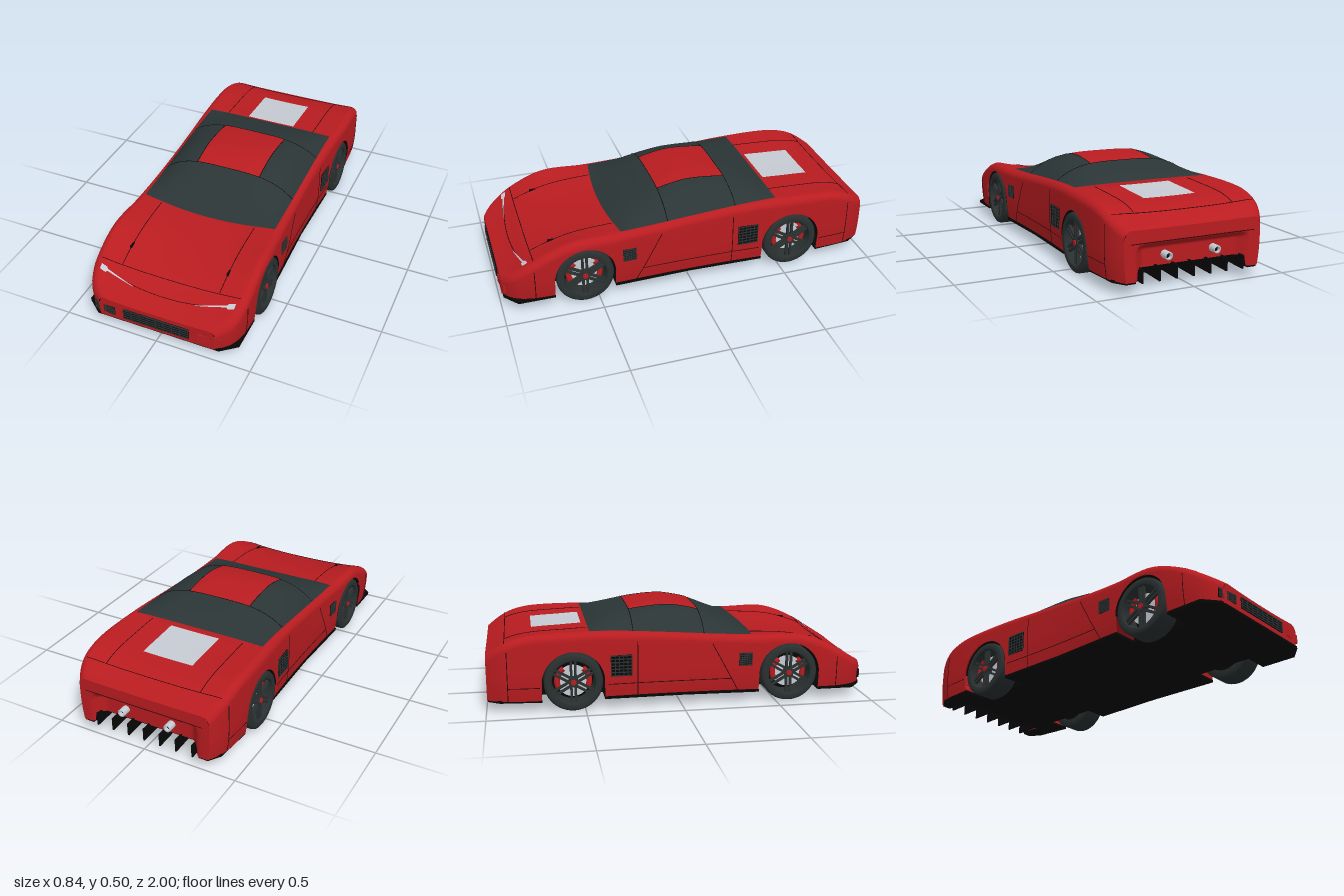
import * as THREE from 'three';

const mat = (name, color, side = THREE.DoubleSide) => {
  const m = new THREE.MeshStandardMaterial({ color, side });
  m.name = name;
  return m;
};

// Smooth curve through [position, value] pairs
function curve(p) {
  const slope = i => {
    const a = p[Math.max(i - 1, 0)], b = p[Math.min(i + 1, p.length - 1)];
    return (b[1] - a[1]) / (b[0] - a[0]);
  };
  return z => {
    if (z <= p[0][0]) return p[0][1];
    for (let i = 0; i < p.length - 1; i++) {
      const [a, ya] = p[i], [b, yb] = p[i + 1];
      if (z > b) continue;
      const h = b - a, t = (z - a) / h, t2 = t * t, t3 = t2 * t;
      return ya * (2 * t3 - 3 * t2 + 1) + yb * (3 * t2 - 2 * t3) +
        h * (slope(i) * (t3 - 2 * t2 + t) + slope(i + 1) * (t3 - t2));
    }
    return p[p.length - 1][1];
  };
}

const lerp = THREE.MathUtils.lerp, smooth = THREE.MathUtils.smoothstep;
const NOSE = 0.99, TAIL = -0.995, R = 0.04, ARCH = 0.16, WHEEL_Y = 0.15;
const axles = [0.57, -0.56];

// Half width, fender crown, centre line and roof line along the car
const halfW = curve([[-1, 0.36], [-0.96, 0.385], [-0.9, 0.408], [-0.8, 0.418], [-0.65, 0.42], [-0.45, 0.412], [-0.2, 0.402],
  [0.1, 0.401], [0.4, 0.41], [0.6, 0.42], [0.82, 0.417], [0.9, 0.4], [0.95, 0.372], [0.98, 0.335], [1, 0.3]]);
const fenderY = curve([[-1, 0.297], [-0.92, 0.35], [-0.85, 0.38], [-0.75, 0.399], [-0.5, 0.405], [-0.3, 0.4], [0, 0.38],
  [0.2, 0.365], [0.4, 0.355], [0.6, 0.355], [0.7, 0.332], [0.83, 0.272], [0.92, 0.215], [1, 0.165]]);
const centreY = curve([[-1, 0.295], [-0.9, 0.35], [-0.8, 0.375], [-0.6, 0.388], [-0.47, 0.392], [-0.3, 0.36], [0, 0.33],
  [0.3, 0.33], [0.4, 0.338], [0.6, 0.314], [0.82, 0.256], [0.9, 0.205], [1, 0.16]]);
const roofY = curve([[-0.5, 0.395], [-0.4, 0.434], [-0.25, 0.474], [-0.15, 0.489], [-0.06, 0.495], [0, 0.491],
  [0.12, 0.463], [0.25, 0.408], [0.33, 0.372], [0.4, 0.338]]);

const sideX = (y, z) => halfW(z) - 0.012 * ((Math.min(y, 0.2) - 0.2) / 0.14) ** 2;
function topY(x, z) {
  const a = Math.abs(x), flat = halfW(z) - R, f = fenderY(z), c = centreY(z);
  if (a <= flat) return c + (f - c) * (a / flat) ** 2.5;
  return f - R + Math.sqrt(Math.max(0, R * R - (a - flat) ** 2));
}
function sillY(z) {
  for (const a of axles) {
    const d = Math.abs(z - a);
    if (d < ARCH) return WHEEL_Y + Math.sqrt(ARCH * ARCH - d * d);
  }
  return 0.06;
}

// Grid surface from rows of points
function grid(rows) {
  const n = rows[0].length, index = [];
  for (let j = 0; j < rows.length - 1; j++) for (let i = 0; i < n - 1; i++) {
    const a = j * n + i, b = a + n;
    index.push(a, b, a + 1, b, b + 1, a + 1);
  }
  const g = new THREE.BufferGeometry();
  g.setAttribute('position', new THREE.Float32BufferAttribute(rows.flat(2), 3));
  g.setIndex(index);
  g.computeVertexNormals();
  return g;
}
const range = (n, f) => Array.from({ length: n + 1 }, (_, i) => f(i / n));
const patch = (fn, nu, nv) => grid(range(nv, v => range(nu, u => fn(u, v))));

export function createModel() {
  const red = mat('red paint', 0xb91c20), glass = mat('dark glass', 0x2b3536), black = mat('black', 0x070707);
  const rubber = mat('tyre grey', 0x2a3030), silver = mat('silver', 0xc6cad2), seamMat = mat('seam', 0x2a080a);
  const car = new THREE.Group();
  car.name = 'sportsCar';
  const add = (name, geo, material, parent = car) => {
    const m = new THREE.Mesh(geo, material);
    m.name = name;
    parent.add(m);
    return m;
  };
  const box = (name, size, pos, material, parent) => {
    const m = add(name, new THREE.BoxGeometry(...size), material, parent);
    m.position.set(...pos);
    return m;
  };

  // Body shell, with stations packed around the wheel arches
  const stations = range(80, t => lerp(TAIL, NOSE, t)).filter(z => axles.every(a => Math.abs(z - a) > ARCH + 0.002));
  for (const a of axles) {
    stations.push(a - ARCH - 0.0005, a + ARCH + 0.0005, ...range(28, t => a - (ARCH - 1e-5) * Math.cos(t * Math.PI)));
  }
  stations.sort((a, b) => a - b);
  const section = z => {
    const w = halfW(z), sh = fenderY(z) - R, low = Math.min(sillY(z), sh);
    const half = range(6, t => { const y = lerp(low, sh, t); return [sideX(y, z), y, z]; });
    for (let i = 1; i <= 6; i++) {
      const x = w - R + R * Math.cos(i * Math.PI / 12);
      half.push([x, topY(x, z), z]);
    }
    for (let i = 1; i <= 14; i++) {
      const x = (w - R) * (1 - i / 14);
      half.push([x, topY(x, z), z]);
    }
    return [...half, ...half.slice(0, -1).reverse().map(([x, y, k]) => [-x, y, k])];
  };
  add('bodyShell', grid(stations.map(section)), red);

  // Nose and recessed tail panel
  add('nosePanel', patch((u, v) => {
    const k = 2 * u - 1, y = lerp(0.06, topY(k * halfW(NOSE), NOSE), v);
    return [k * sideX(y, NOSE), y, NOSE];
  }, 40, 6), red);
  add('tailPanel', patch((u, v) => {
    const k = 2 * u - 1, x0 = k * halfW(TAIL), low = Math.abs(x0) < 0.3 ? 0.11 : 0.06;
    const y = lerp(low, topY(x0, TAIL), v), x = k * sideX(y, TAIL);
    return [x, y, TAIL + 0.05 * (1 - smooth(y, 0.2, 0.235)) * (1 - smooth(Math.abs(x), 0.24, 0.31))];
  }, 60, 20), red);

  // Cabin: windscreen, roof, side windows and rear window
  const ROOF = 0.486;
  const cabin = (u, z, lift = 0) => {
    const b = fenderY(z) - 0.004;
    return [u * 0.37, b + (roofY(z) - b) * (1 - Math.abs(u) ** 3.6) + 0.004 + lift, z];
  };
  const cabinPart = (name, u0, u1, z0, z1, m) => add(name, patch((s, t) => {
    const u = lerp(u0, u1, s), front = z0 > 0.3 ? z0 - 0.03 * u * u : z0;
    return cabin(u, lerp(front, z1, t));
  }, 30, 14), m);
  cabinPart('windscreen', -1, 1, 0.4, 0.12, glass);
  cabinPart('roofPanel', -ROOF, ROOF, 0.12, -0.25, red);
  cabinPart('leftWindow', ROOF, 1, 0.12, -0.25, glass);
  cabinPart('rightWindow', -1, -ROOF, 0.12, -0.25, glass);
  cabinPart('rearWindow', -1, 1, -0.25, -0.475, glass);

  // Engine cover window and slim headlights
  add('engineWindow', patch((u, v) => {
    const x = lerp(-0.14, 0.14, u), z = lerp(-0.76, -0.5, v);
    return [x, topY(x, z) + 0.005, z];
  }, 8, 8), silver);
  for (const s of [1, -1]) add('headlight', patch((u, v) => {
    const x = s * lerp(0.365, 0.17, u), w = u < 0.18 ? 0.024 : 0.009 * (1.2 - u);
    const z = lerp(0.862, 0.897, u) + (v - 0.4) * w;
    return [x, topY(x, z) + 0.004, z];
  }, 24, 2), silver);

  // Panel seams
  const seam = (fn, m = seamMat) => add('panelSeam', new THREE.TubeGeometry(
    new THREE.CatmullRomCurve3(range(16, t => new THREE.Vector3(...fn(t)))), 32, 0.002, 4), m);
  const across = (half, zf) => seam(t => {
    const x = lerp(-half, half, t), z = zf(x);
    return [x, topY(x, z) + 0.001, z];
  });
  across(0.38, () => 0.825);
  across(0.38, () => -0.9);
  across(0.36, x => 0.9 - 0.3 * x * x);
  seam(t => [lerp(-0.33, 0.33, t), 0.237, TAIL - 0.001]);
  for (const z of [0.12, -0.25]) seam(t => cabin(lerp(-1, 1, t), z), black);
  for (const s of [1, -1]) {
    for (const [a, b] of [[0.39, 0.82], [-0.48, -0.9]]) seam(t => {
      const z = lerp(a, b, t);
      return [s * 0.265, topY(0.265, z) + 0.001, z];
    });
    seam(t => cabin(s * ROOF, lerp(0.12, -0.25, t)), black);
    for (const [za, ya, zb, yb] of [[0.16, 0.32, 0.3, 0.06], [-0.23, 0.35, -0.23, 0.06], [0.26, 0.13, -0.38, 0.13],
      [0.83, 0.23, 0.83, 0.06], [-0.89, 0.32, -0.89, 0.06], [-0.73, 0.13, -0.89, 0.13]]) seam(t => {
      const y = lerp(ya, yb, t), z = lerp(za, zb, t);
      return [s * sideX(y, z), y, z];
    });
  }

  // Grilles: dark backing with crossed bars
  const grille = (name, w, h, cols, rows) => {
    const g = new THREE.Group();
    g.name = name;
    box('backing', [w, h, 0.012], [0, 0, 0], black, g);
    for (let i = 0; i <= cols; i++) box('upright', [0.004, h, 0.006], [(i / cols - 0.5) * (w - 0.004), 0, 0.006], rubber, g);
    for (let i = 0; i <= rows; i++) box('slat', [w, 0.006, 0.006], [0, (i / rows - 0.5) * (h - 0.006), 0.005], rubber, g);
    car.add(g);
    return g;
  };
  grille('frontGrille', 0.355, 0.058, 8, 4).position.set(0, 0.112, NOSE);
  const fog = grille('fogGrille', 0.115, 0.046, 4, 4);
  fog.position.set(-0.283, 0.108, 0.983);
  fog.rotation.y = -0.12;
  box('fogCover', [0.118, 0.046, 0.012], [0.283, 0.108, 0.984], red).rotation.y = 0.12;
  for (const s of [1, -1]) for (const [z, y, w, h] of [[0.335, 0.233, 0.07, 0.068], [-0.315, 0.227, 0.11, 0.11]]) {
    const g = grille('sideVent', w, h, 5, 6);
    g.position.set(s * (halfW(z) - 0.002), y, z);
    g.rotation.y = s * Math.PI / 2;
  }

  // Flat floor with wheel notches
  const edge = [[0.33, 0.985], [0.41, 0.92], [0.41, 0.73], [0.27, 0.73], [0.27, 0.41], [0.405, 0.41], [0.392, 0], [0.4, -0.4],
    [0.27, -0.4], [0.27, -0.72], [0.408, -0.72], [0.39, -0.93], [0.35, -0.99], [0.3, -0.99], [0.3, -0.85]];
  const outline = [...edge, ...edge.map(([x, z]) => [-x, z]).reverse()].map(p => new THREE.Vector2(...p));
  const floor = new THREE.ExtrudeGeometry(new THREE.Shape(outline), { depth: 0.014, bevelEnabled: false });
  add('floor', floor.rotateX(Math.PI / 2).translate(0, 0.065, 0), black);

  // Rear diffuser and exhausts
  add('diffuserRamp', patch((u, v) => [lerp(-0.3, 0.3, u), lerp(0.06, 0.112, v), lerp(-0.85, -0.95, v)], 1, 1), black);
  for (let i = -3; i <= 3; i++) {
    const fin = new THREE.Shape([[-0.85, 0.055], [-0.85, 0.075], [-0.94, 0.118], [-0.998, 0.118], [-0.998, 0.05]]
      .map(([z, y]) => new THREE.Vector2(-z, y)));
    add('diffuserFin', new THREE.ExtrudeGeometry(fin, { depth: 0.008, bevelEnabled: false })
      .rotateY(Math.PI / 2).translate(i * 0.09 - 0.004, 0, 0), black);
  }
  for (const s of [1, -1]) {
    const pipe = [[0.014, -0.03], [0.02, -0.03], [0.02, 0.03], [0.014, 0.03], [0.014, -0.03]].map(p => new THREE.Vector2(...p));
    add('exhaust', new THREE.LatheGeometry(pipe, 20).rotateX(Math.PI / 2), silver).position.set(s * 0.13, 0.16, -0.96);
    add('exhaustBore', new THREE.CircleGeometry(0.015, 16), black).position.set(s * 0.13, 0.16, -0.97);
  }

  // Wheels and arch liners
  const tyre = [[0.108, -0.065], [0.14, -0.065], [0.15, -0.05], [0.15, 0.05], [0.147, 0.059], [0.138, 0.065], [0.116, 0.066],
    [0.111, 0.06], [0.108, 0.03], [0.108, -0.065]].map(p => new THREE.Vector2(...p));
  for (const s of [1, -1]) for (const z of axles) {
    const wheel = new THREE.Group();
    wheel.name = (z > 0 ? 'front' : 'rear') + (s > 0 ? 'Left' : 'Right') + 'Wheel';
    wheel.position.set(s * 0.353, WHEEL_Y, z);
    wheel.rotation.y = s > 0 ? 0 : Math.PI;
    car.add(wheel);
    const disc = (name, r, d, x, m) => add(name, new THREE.CylinderGeometry(r, r, d, 32).rotateZ(Math.PI / 2), m, wheel).position.x = x;
    add('tyre', new THREE.LatheGeometry(tyre, 48).rotateZ(-Math.PI / 2), rubber, wheel);
    disc('wheelBack', 0.108, 0.01, -0.04, black);
    disc('brakeDisc', 0.082, 0.01, 0.015, silver);
    disc('hub', 0.026, 0.03, 0.04, rubber);
    disc('hubCap', 0.014, 0.008, 0.057, red);
    for (const a of [-0.5, 2.2]) {
      const caliper = add('caliper', new THREE.TorusGeometry(0.082, 0.015, 8, 16, 1.4).rotateY(Math.PI / 2), red, wheel);
      caliper.position.x = 0.022;
      caliper.rotation.x = a;
    }
    for (let i = 0; i < 6; i++) for (const k of [-0.011, 0.011]) {
      const spoke = new THREE.BoxGeometry(0.014, 0.092, 0.012).translate(0.045, 0.064, k);
      add('spoke', spoke.rotateX(i * Math.PI / 3), rubber, wheel);
    }
    const liner = new THREE.CylinderGeometry(ARCH, ARCH, 0.145, 32, 1, true, 0, Math.PI).rotateZ(Math.PI / 2);
    add('archLiner', liner.rotateX(0), black).position.set(s * 0.34, WHEEL_Y, z);
    box('archInnerWall', [0.01, 0.25, 0.32], [s * 0.265, 0.185, z], black);
  }
  return car;
}
